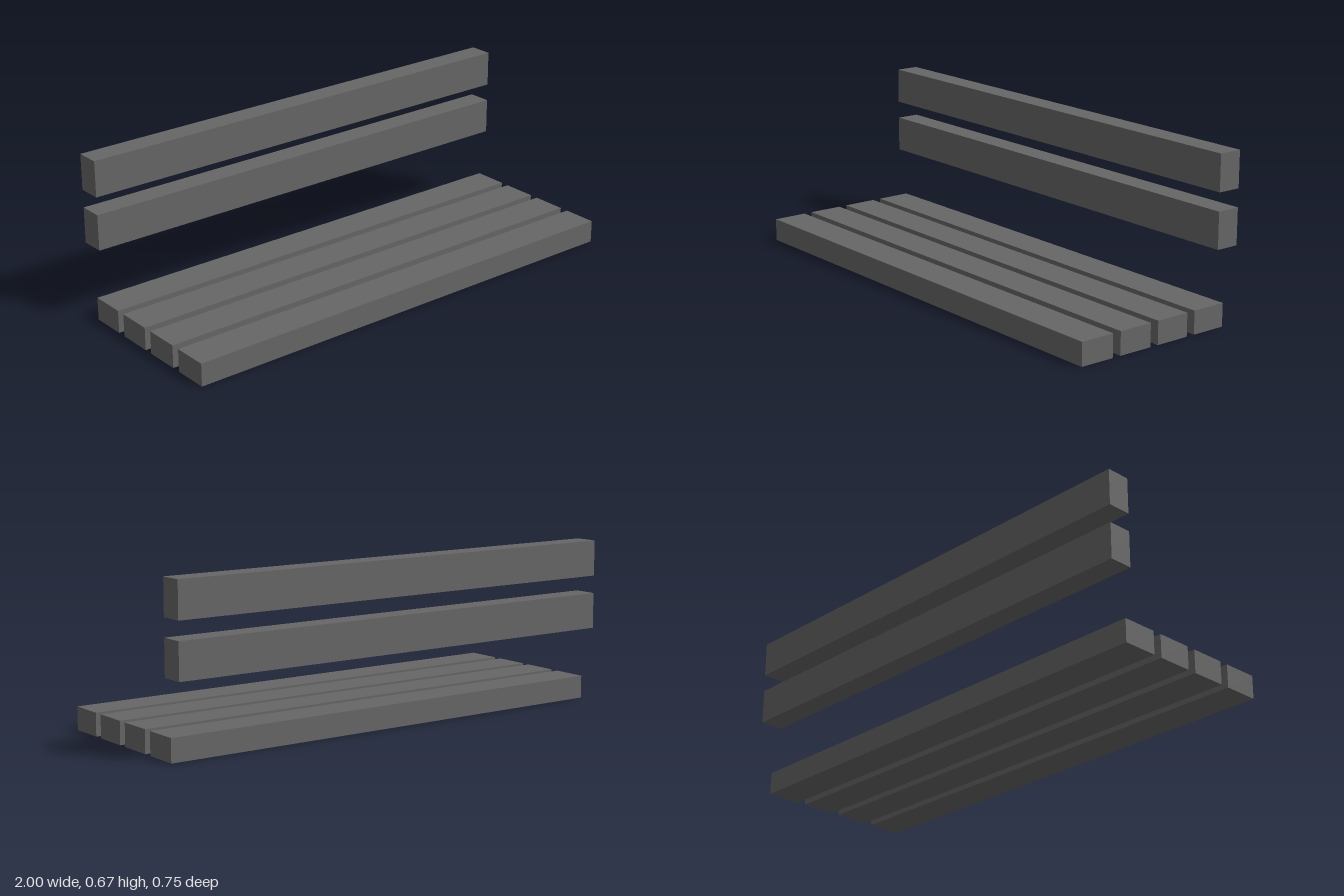
import * as THREE from 'three';

export function createModel() {
  const model = new THREE.Group();
  model.name = 'bench';
  const slatGrey = new THREE.MeshStandardMaterial({ color: 0x666666 });
  slatGrey.name = 'slat grey';

  // One full-length slat, centred on x
  const addSlat = (name, height, depth, y, z) => {
    const slat = new THREE.Mesh(new THREE.BoxGeometry(2, height, depth), slatGrey);
    slat.name = name;
    slat.position.set(0, y, z);
    model.add(slat);
  };

  // Four flat seat slats, front to back
  for (let i = 0; i < 4; i++) {
    addSlat(`seatSlat${i + 1}`, 0.093, 0.1455, 0.0465, 0.304 - i * 0.182);
  }

  // Two upright backrest slats
  for (let i = 0; i < 2; i++) {
    addSlat(`backrestSlat${i + 1}`, 0.1455, 0.097, 0.377 + i * 0.218, -0.328);
  }

  return model;
}
